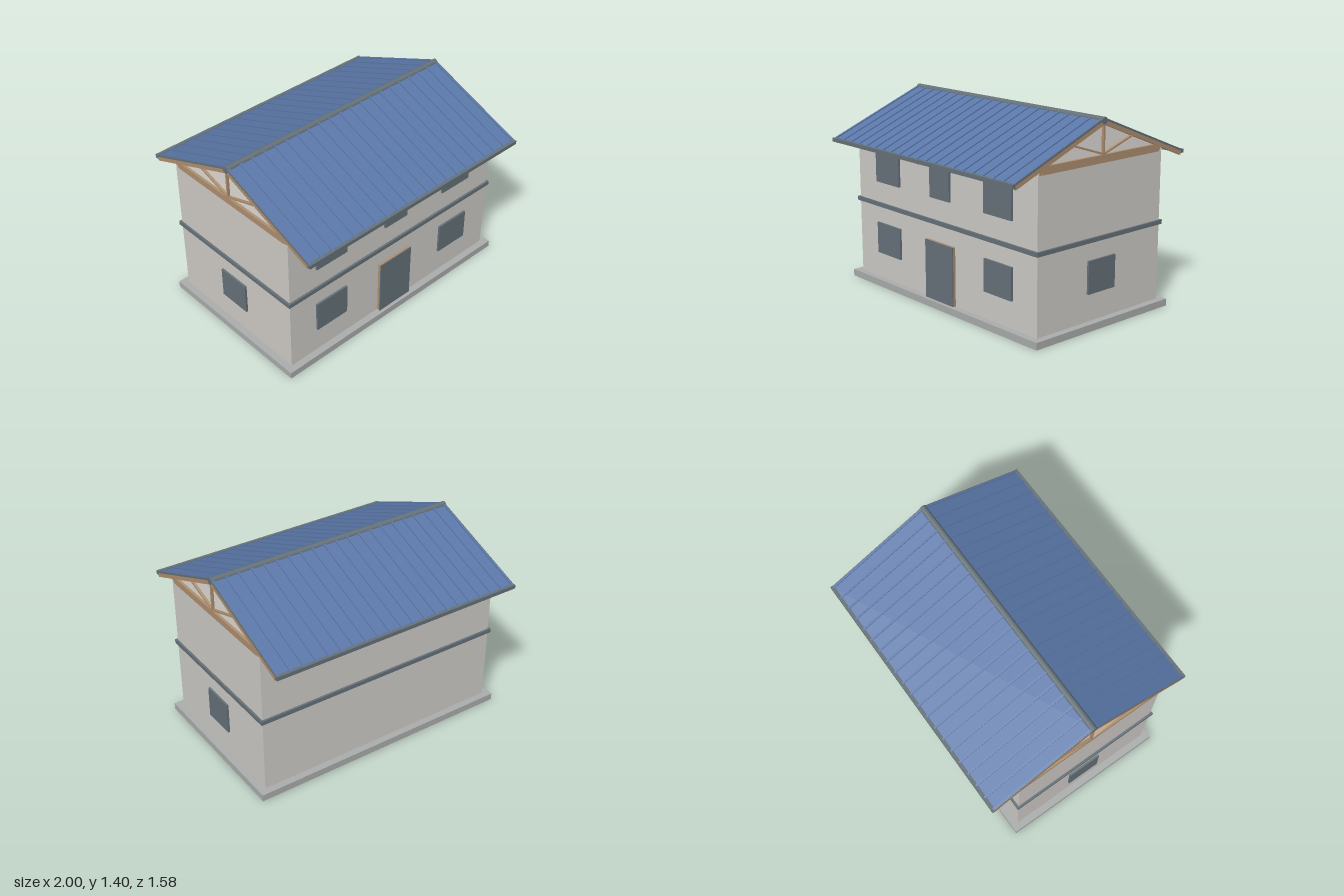
import * as THREE from 'three';

const mat = (name, color) => {
  const m = new THREE.MeshStandardMaterial({ color });
  m.name = name;
  return m;
};

export function createModel() {
  const house = new THREE.Group();
  house.name = 'house';
  const concrete = mat('concrete', 0xacaeae);
  const plaster = mat('plaster', 0xd0cdc8);
  const gableBoard = mat('gableBoard', 0xe0ddd8);
  const trim = mat('slateTrim', 0x66727a);
  const wood = mat('timber', 0xaf9070);
  const blue = mat('blueMetal', 0x5b78a9);

  const box = (parent, name, m, [w, h, d], [x, y, z]) => {
    const mesh = new THREE.Mesh(new THREE.BoxGeometry(w, h, d), m);
    mesh.position.set(x, y, z);
    mesh.name = name;
    parent.add(mesh);
    return mesh;
  };

  // Foundation, walls and the band between the floors
  box(house, 'foundation', concrete, [2, 0.05, 1.24], [0, 0.025, 0]);
  box(house, 'walls', plaster, [1.9, 1.05, 1.14], [0, 0.575, 0]);
  box(house, 'floorBand', trim, [1.93, 0.03, 1.17], [0, 0.605, 0]);

  // Front windows
  for (const x of [-0.59, 0.59]) {
    box(house, 'lowerWindow', trim, [0.27, 0.228, 0.016], [x, 0.355, 0.577]);
    box(house, 'upperWindow', trim, [0.27, 0.228, 0.016], [x, 0.888, 0.577]);
  }
  box(house, 'middleWindow', trim, [0.21, 0.228, 0.016], [0, 0.888, 0.577]);
  // Side windows
  for (const s of [-1, 1])
    box(house, 'sideWindow', trim, [0.016, 0.228, 0.25], [s * 0.957, 0.355, 0]);
  // Door: timber frame with a slate panel
  box(house, 'doorFrame', wood, [0.295, 0.42, 0.022], [0, 0.26, 0.578]);
  box(house, 'doorPanel', trim, [0.295, 0.42, 0.007], [0, 0.26, 0.5925]);

  // Timber plates on top of the walls
  for (const s of [-1, 1]) {
    box(house, 'longWallPlate', wood, [1.9, 0.025, 0.02], [0, 1.1125, s * 0.545]);
    box(house, 'gableWallPlate', wood, [0.02, 0.025, 1.07], [s * 0.945, 1.1125, 0]);
  }

  // Gable boards
  const tri = new THREE.Shape([
    new THREE.Vector2(-0.6, 1.1), new THREE.Vector2(0.6, 1.1),
    new THREE.Vector2(0.57, 1.135), new THREE.Vector2(0, 1.362),
    new THREE.Vector2(-0.57, 1.135),
  ]);
  for (const s of [-1, 1]) {
    const geo = new THREE.ExtrudeGeometry(tri, { depth: 0.008, bevelEnabled: false });
    const board = new THREE.Mesh(geo.translate(0, 0, -0.004).rotateY(Math.PI / 2), gableBoard);
    board.position.x = s * 0.938;
    board.name = 'gableBoard';
    house.add(board);
  }

  // Roof slopes, each built along its own +z and tilted down from the ridge
  const pitch = Math.atan(0.4);
  const slopes = [0, Math.PI].map((turn) => {
    const side = new THREE.Group();
    side.name = 'roofSide';
    side.rotation.y = turn;
    const slope = new THREE.Group();
    slope.name = 'roofSlope';
    slope.position.y = 1.38;
    slope.rotation.x = pitch;
    side.add(slope);
    house.add(side);
    box(slope, 'roofSheet', blue, [1.91, 0.006, 0.835], [0, 0.004, 0.4175]);
    for (let i = 0; i <= 20; i++)
      box(slope, 'roofRib', blue, [0.014, 0.009, 0.835], [-0.948 + i * 0.0948, 0.01, 0.4175]);
    for (const s of [-1, 1])
      box(slope, 'vergeTrim', trim, [0.007, 0.014, 0.835], [s * 0.9575, 0.006, 0.4175]);
    box(side, 'gutter', trim, [1.925, 0.027, 0.025], [0, 1.0715, 0.7775]);
    return slope;
  });

  // Ridge cap
  const cap = new THREE.Mesh(new THREE.CylinderGeometry(0.025, 0.025, 1.925, 12), trim);
  cap.rotation.z = Math.PI / 2;
  cap.position.y = 1.375;
  cap.name = 'ridgeCap';
  house.add(cap);

  // Roof trusses: rafters, tie beam, king post and diagonal webs
  for (let i = -3; i <= 3; i++) {
    const x = i * 0.3167;
    for (const slope of slopes)
      box(slope, 'rafter', wood, [0.022, 0.028, 0.83], [x, -0.014, 0.415]);
    box(house, 'tieBeam', wood, [0.022, 0.03, 1.12], [x, 1.14, 0]);
    box(house, 'kingPost', wood, [0.02, 0.21, 0.014], [x, 1.255, 0]);
    for (const s of [-1, 1]) {
      const web = box(house, 'web', wood, [0.02, 0.012, 0.285], [x, 1.203, s * 0.137]);
      web.rotation.x = -s * Math.atan2(0.085, 0.26);
    }
  }
  return house;
}
